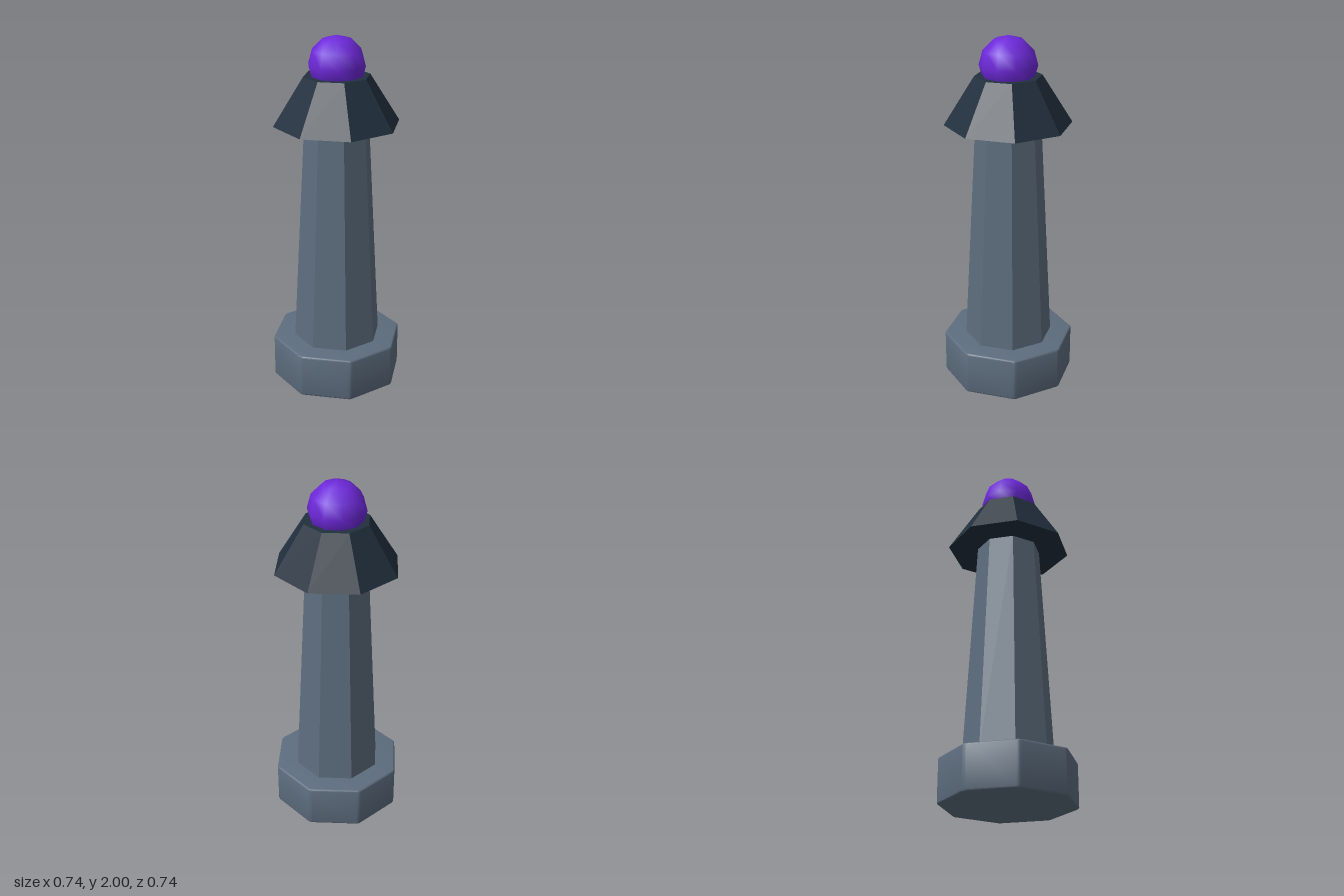
import * as THREE from 'three';
import { toCreasedNormals } from 'three/addons/utils/BufferGeometryUtils.js';

const stone = new THREE.MeshStandardMaterial({ color: 0x5d6d7e });
const slate = new THREE.MeshStandardMaterial({ color: 0x212f3d });
const violet = new THREE.MeshStandardMaterial({ color: 0x6d28d9 });

// Octagon outline with softened corners, one corner on each axis
function octagonShape(radius, softness) {
  const corner = (i) => new THREE.Vector2(Math.cos(i * Math.PI / 4), Math.sin(i * Math.PI / 4)).multiplyScalar(radius);
  const shape = new THREE.Shape();
  for (let i = 0; i < 8; i++) {
    const c = corner(i);
    const a = c.clone().lerp(corner(i - 1), softness);
    const b = c.clone().lerp(corner(i + 1), softness);
    if (i === 0) shape.moveTo(a.x, a.y);
    else shape.lineTo(a.x, a.y);
    shape.quadraticCurveTo(c.x, c.y, b.x, b.y);
  }
  shape.closePath();
  return shape;
}

// Flat-sided tapered octagonal block standing between two heights
function taperedOctagon(topRadius, bottomRadius, y0, y1) {
  const geometry = new THREE.CylinderGeometry(topRadius, bottomRadius, y1 - y0, 8);
  geometry.translate(0, (y0 + y1) / 2, 0);
  return toCreasedNormals(geometry, 0.3);
}

export function createModel() {
  const model = new THREE.Group();
  model.name = 'tower';
  const add = (name, geometry, material) => {
    const mesh = new THREE.Mesh(geometry, material);
    mesh.name = name;
    model.add(mesh);
  };

  // Base block with rounded edges
  const height = 0.25, bevel = 0.01;
  const base = new THREE.ExtrudeGeometry(octagonShape(0.375, 0.05), {
    depth: height - 2 * bevel, curveSegments: 4, bevelEnabled: true,
    bevelThickness: bevel, bevelSize: bevel, bevelOffset: -bevel, bevelSegments: 3,
  });
  base.translate(0, 0, bevel);
  base.rotateX(-Math.PI / 2);
  add('base', toCreasedNormals(base, 0.6), stone);

  // Tapering shaft and flared roof
  add('shaft', taperedOctagon(0.18, 0.25, 0.24, 1.53), stone);
  add('roof', taperedOctagon(0.183, 0.35, 1.52, 1.785), slate);

  // Orb resting in the roof
  const orb = new THREE.SphereGeometry(0.158, 10, 6);
  orb.rotateY(Math.PI / 2);
  orb.translate(0, 1.842, 0);
  add('orb', orb, violet);

  return model;
}
